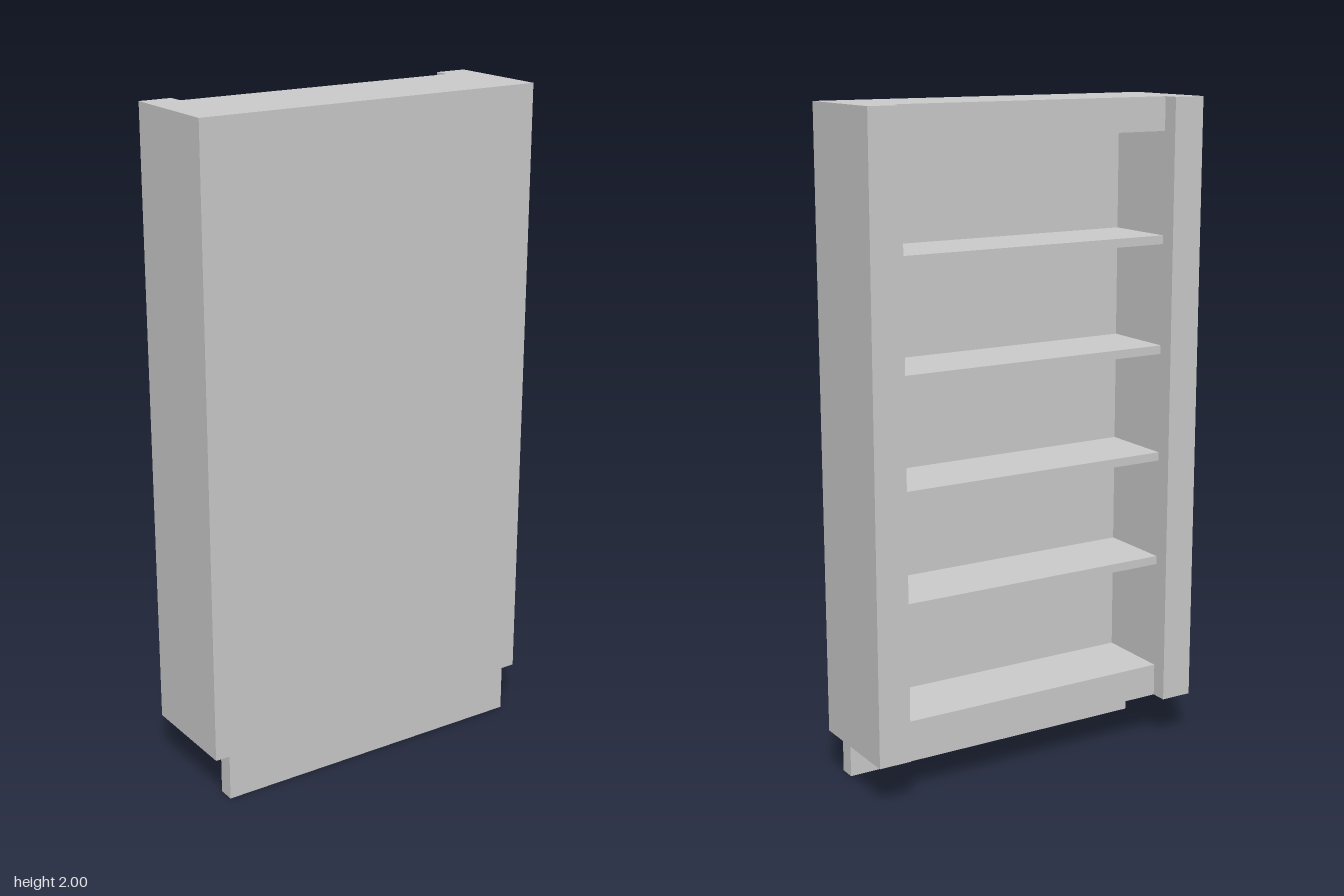
import * as THREE from 'three';

const material = new THREE.MeshStandardMaterial({ color: 0xcccccc });

// Box given by its lower and upper limits on each axis
function block(name, [x0, x1], [y0, y1], [z0, z1]) {
  const mesh = new THREE.Mesh(new THREE.BoxGeometry(x1 - x0, y1 - y0, z1 - z0), material);
  mesh.name = name;
  mesh.position.set((x0 + x1) / 2, (y0 + y1) / 2, (z0 + z1) / 2);
  return mesh;
}

export function createModel() {
  const group = new THREE.Group();
  group.name = 'bookcase';

  const outer = 0.55, inner = 0.45;      // half widths
  const bottom = 0.14, top = 2;
  const closed = 0.165, open = -0.115;   // panel side and shelf edge
  const panelFace = 0.12;
  const baseTop = 0.24, railBottom = 1.9;
  const span = [-inner, inner];
  const depth = [open, panelFace];

  // Thick side walls, standing proud of the shelves
  group.add(block('leftSide', [inner, outer], [bottom, top], [-closed, closed]));
  group.add(block('rightSide', [-outer, -inner], [bottom, top], [-closed, closed]));

  // Full-height panel, top and base
  group.add(block('panel', span, [bottom, top], [panelFace, closed]));
  group.add(block('top', span, [railBottom, top], depth));
  group.add(block('base', span, [bottom, baseTop], depth));

  // Four evenly spaced shelves
  const bays = 5, thickness = 0.026;
  for (let i = 1; i < bays; i++) {
    const y = baseTop + (i * (railBottom - baseTop)) / bays;
    group.add(block('shelf' + i, span, [y, y + thickness], depth));
  }

  // Narrower kickboard under the panel
  group.add(block('kickboard', [-0.505, 0.505], [0, bottom], [0.115, closed]));

  return group;
}
